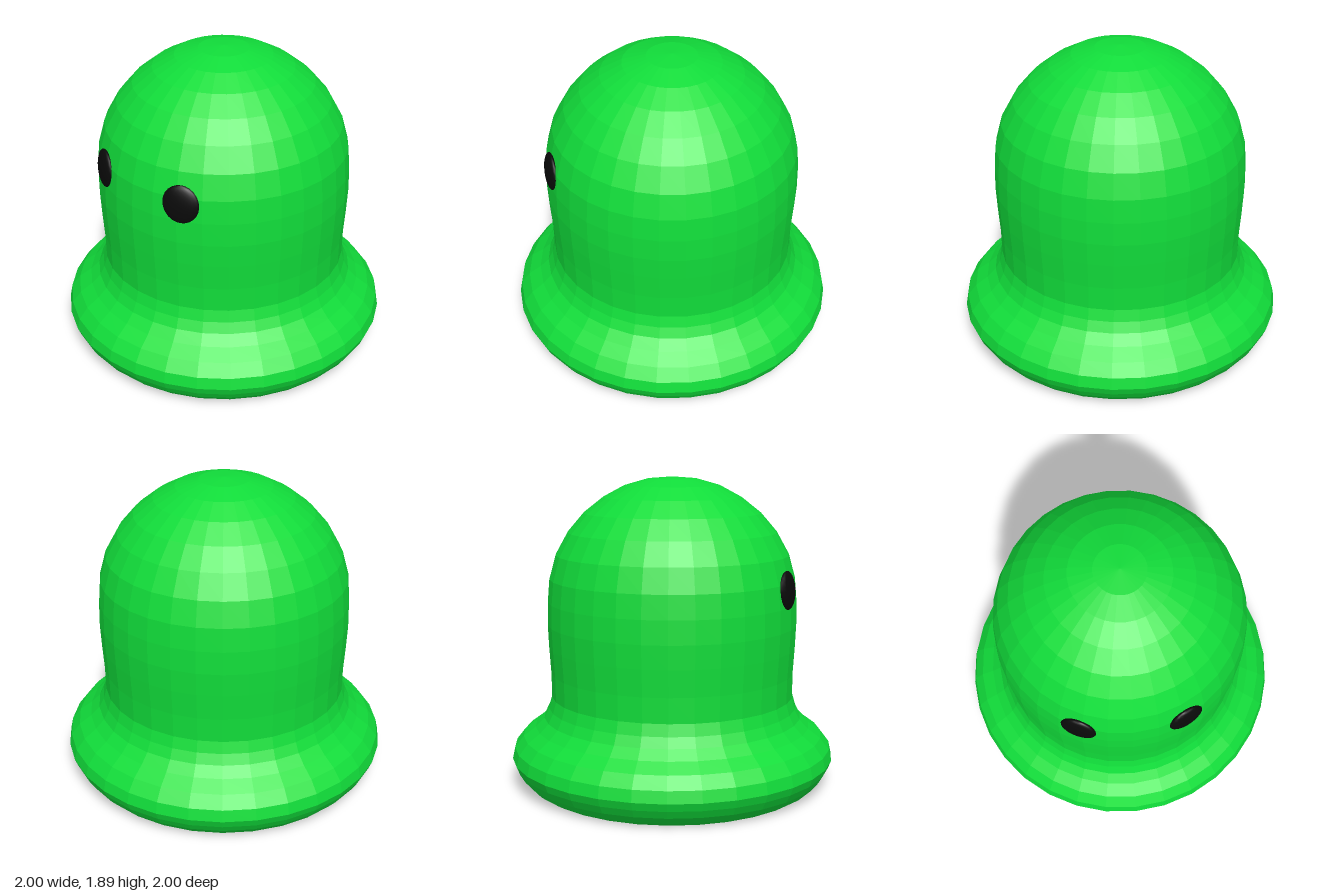
import * as THREE from 'three';

export function createModel() {
  const model = new THREE.Group();
  const green = new THREE.MeshStandardMaterial({ color: 0x11dd3a, flatShading: true });
  const black = new THREE.MeshStandardMaterial({ color: 0x0a0a0a });

  // Body: flat base, bulging foot rim, narrow waist and domed head
  const profile = [
    [0, 0], [0.87, 0], [0.91, 0.025], [0.95, 0.07], [0.98, 0.12], [1, 0.17],
    [0.985, 0.24], [0.93, 0.31], [0.855, 0.365], [0.8, 0.42], [0.77, 0.48],
    [0.75, 0.55], [0.752, 0.7], [0.762, 0.86], [0.768, 1.0], [0.765, 1.14],
    [0.753, 1.28], [0.713, 1.425], [0.638, 1.56], [0.54, 1.675], [0.42, 1.77],
    [0.29, 1.84], [0.15, 1.88], [0, 1.892],
  ].map(([r, y]) => new THREE.Vector2(r, y));
  const body = new THREE.Mesh(new THREE.LatheGeometry(profile, 32), green);
  body.name = 'body';
  model.add(body);

  // Eyes: flattened balls lying against the head
  const eyeGeometry = new THREE.SphereGeometry(1, 16, 12).scale(0.108, 0.115, 0.03);
  for (const side of [1, -1]) {
    const eye = new THREE.Mesh(eyeGeometry, black);
    eye.name = side > 0 ? 'leftEye' : 'rightEye';
    eye.position.set(side * 0.31, 1.243, 0.685);
    eye.rotation.set(-0.08, side * 0.425, 0, 'YXZ');
    model.add(eye);
  }
  return model;
}
